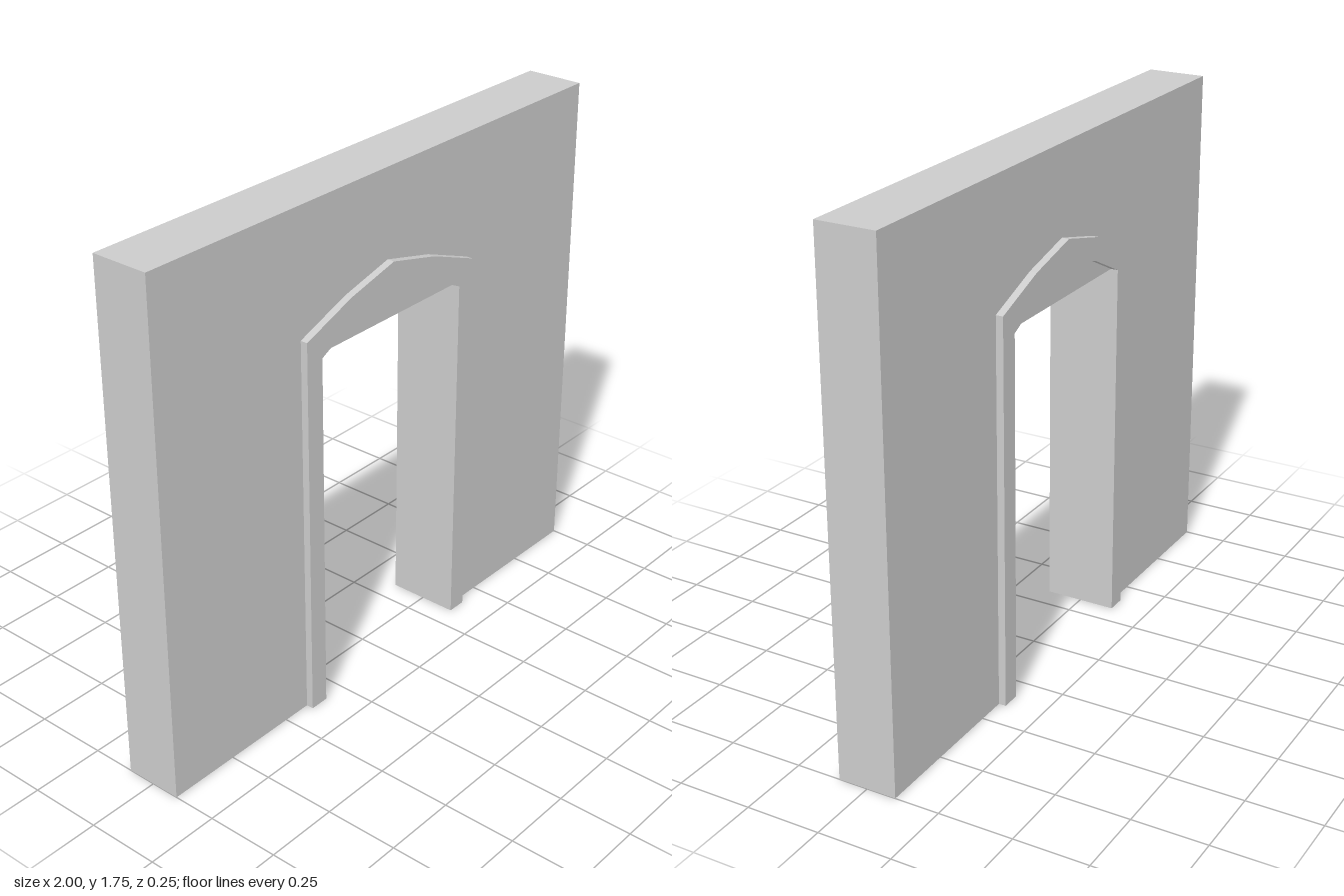
import * as THREE from 'three';

const material = new THREE.MeshStandardMaterial({ color: 0xcccccc, flatShading: true });

// Mirrors a right-hand outline (ordered up to the centre line) into a full path.
const mirrored = (half) => [
  ...half,
  ...half.filter(([x]) => x > 0).reverse().map(([x, y]) => [-x, y]),
];

// Extrudes an outline from z0 to z1.
function slab(name, points, z0, z1) {
  const shape = new THREE.Shape(points.map(([x, y]) => new THREE.Vector2(x, y)));
  const geometry = new THREE.ExtrudeGeometry(shape, { depth: z1 - z0, bevelEnabled: false });
  geometry.translate(0, 0, z0);
  const mesh = new THREE.Mesh(geometry, material);
  mesh.name = name;
  return mesh;
}

export function createModel() {
  const group = new THREE.Group();
  group.name = 'doorwayWall';

  const doorHalf = 0.333, doorTop = 1.25;
  const wallHalf = 0.1, trimFace = 0.125;

  // Wall with a square-headed door opening
  const wallOuter = mirrored([[1, 0], [1, 1.75]]);
  const opening = mirrored([[doorHalf, 0], [doorHalf, doorTop]]);
  group.add(slab('wall', [...wallOuter, ...opening.reverse()], -wallHalf, wallHalf));

  // Raised arched door surround on both faces
  const archOuter = mirrored([[0.4, 0], [0.4, 1.325], [0.2, 1.4], [0, 1.45]]);
  const archInner = mirrored([[doorHalf, 0], [doorHalf, doorTop], [0.175, 1.328], [0, 1.38]]);
  const surround = [...archOuter, ...archInner.reverse()];
  group.add(slab('frontSurround', surround, wallHalf, trimFace));
  group.add(slab('backSurround', surround, -trimFace, -wallHalf));

  return group;
}
